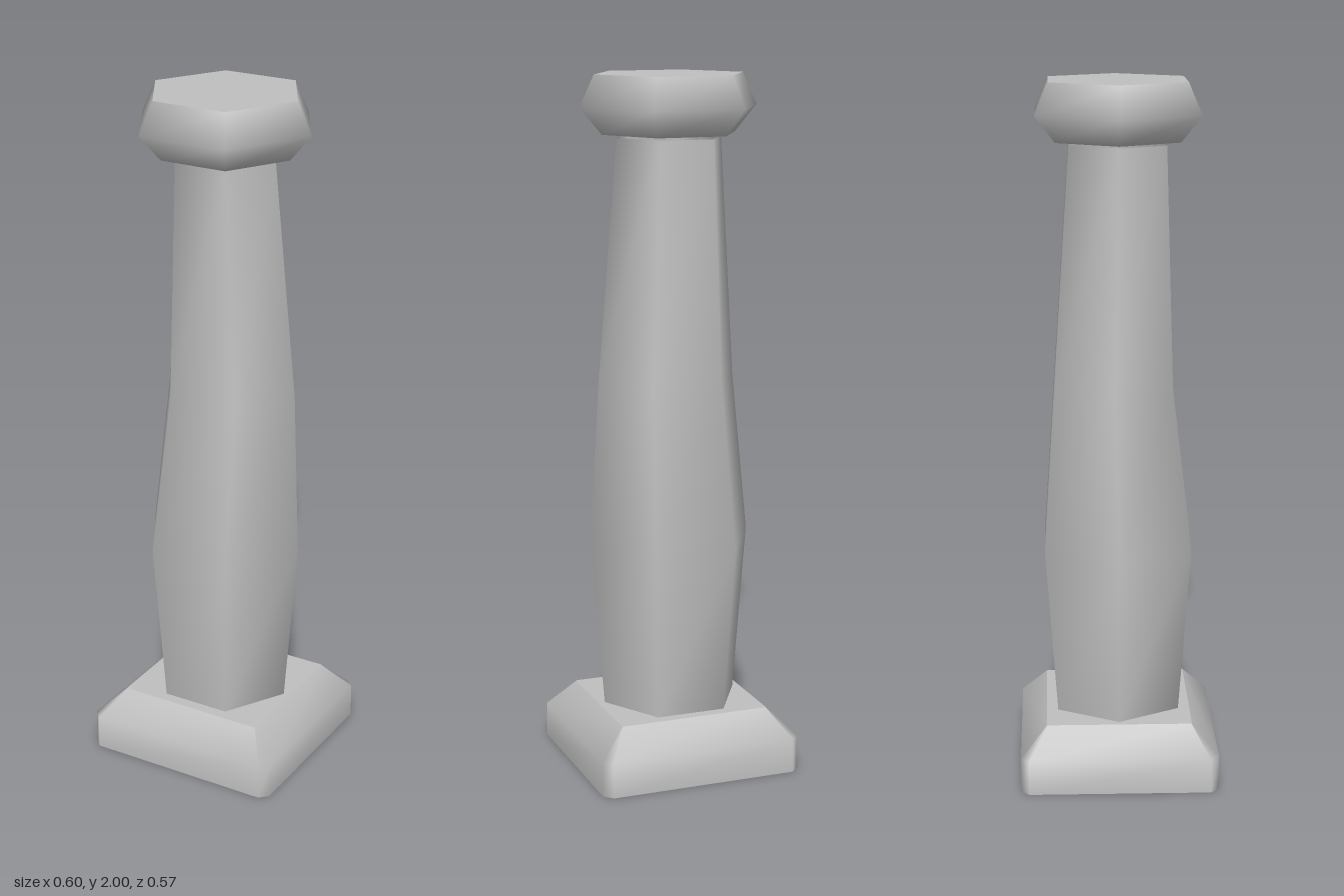
import * as THREE from 'three';

const stone = new THREE.MeshStandardMaterial({ color: 0xc0c0c0, side: THREE.DoubleSide });
stone.name = 'grey stone';

// Hexagonal ring with corners on the x axis
function hexRing(y, rx, rz, cx = 0, cz = 0) {
  return Array.from({ length: 6 }, (_, i) => {
    const a = (i * Math.PI) / 3;
    return [cx + rx * Math.cos(a), y, cz + rz * Math.sin(a)];
  });
}

// Rectangular ring with cut corners
function rectRing(y, x, z, cut) {
  const c = [];
  for (const [sx, sz] of [[1, 1], [-1, 1], [-1, -1], [1, -1]]) {
    const pair = [[sx * x, y, sz * (z - cut)], [sx * (x - cut), y, sz * z]];
    c.push(...(sx * sz > 0 ? pair : pair.reverse()));
  }
  return c;
}

function geometryOf(points, index) {
  const g = new THREE.BufferGeometry();
  g.setAttribute('position', new THREE.Float32BufferAttribute(points.flat(), 3));
  g.setIndex(index);
  g.computeVertexNormals();
  return g;
}

// Smooth skin through a stack of rings, bottom to top
function skin(rings) {
  const n = rings[0].length, index = [];
  for (let r = 0; r < rings.length - 1; r++) {
    for (let i = 0; i < n; i++) {
      const j = (i + 1) % n, b = r * n, t = b + n;
      index.push(b + i, t + i, b + j, b + j, t + i, t + j);
    }
  }
  return geometryOf(rings.flat(), index);
}

// Flat upward-facing lid on a ring
function lid(ring) {
  const index = [];
  for (let i = 1; i < ring.length - 1; i++) index.push(0, i + 1, i);
  return geometryOf(ring, index);
}

export function createModel() {
  const model = new THREE.Group();
  model.name = 'pillar';
  const add = (name, geometry) => {
    const mesh = new THREE.Mesh(geometry, stone);
    mesh.name = name;
    model.add(mesh);
  };

  // Hollow square foot with bevelled shoulders
  const foot = [
    rectRing(0, 0.3, 0.284, 0.024),
    rectRing(0.1, 0.3, 0.284, 0.024),
    rectRing(0.18, 0.222, 0.209, 0.003),
  ];
  add('footSides', skin(foot));
  add('footTop', lid(foot[2]));

  // Swelling six-sided shaft, dented on its right and front
  add('shaft', skin([
    hexRing(0.18, 0.203, 0.203),
    hexRing(0.67, 0.243, 0.243),
    hexRing(1.14, 0.205, 0.194, 0.014, -0.012),
    hexRing(1.825, 0.157, 0.157),
  ]));

  // Six-sided cap, open underneath
  const cap = [
    hexRing(1.835, 0.2, 0.2),
    hexRing(1.91, 0.265, 0.265),
    hexRing(2, 0.222, 0.222),
  ];
  add('capSides', skin(cap));
  add('capTop', lid(cap[2]));

  return model;
}
